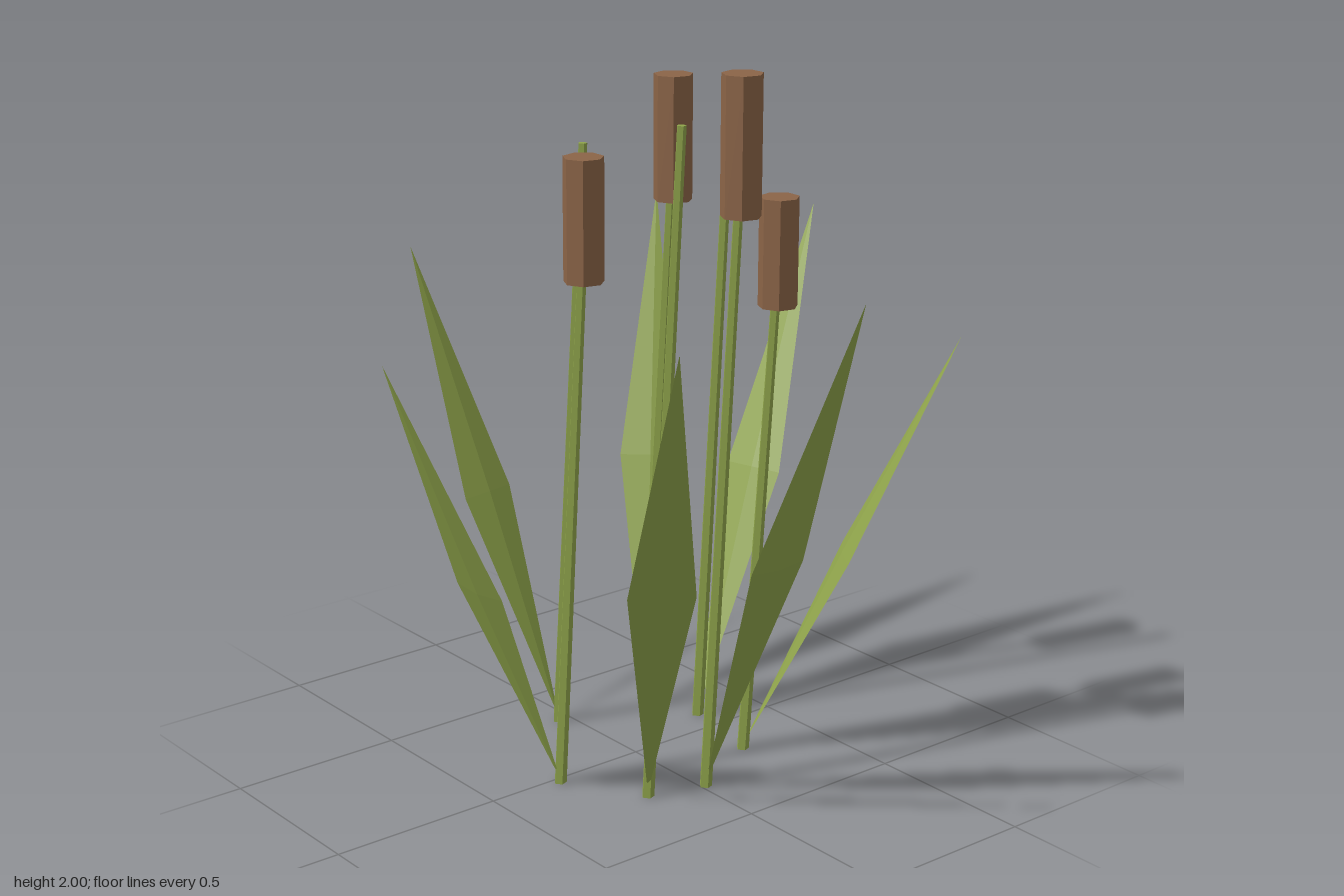
import * as THREE from 'three';

// base x/z, stem height, top x/z, optional seed head [bottom, top], leaf tip [x, y, z]
const PLANTS = [
  { base: [-0.31, 0.04], h: 1.73, top: [-0.215, 0.012], tip: [-0.88, 1.33, 0.135] },
  { base: [-0.23, -0.22], h: 1.72, top: [-0.14, -0.244], head: [1.55, 1.9], tip: [-0.66, 1.43, -0.61] },
  { base: [-0.09, -0.305], h: 1.87, top: [0.0, -0.33], tip: [-0.24, 1.43, -0.865] },
  { base: [0.17, -0.255], h: 1.47, top: [0.26, -0.28], head: [1.325, 1.625], tip: [0.527, 1.225, -0.715] },
  { base: [0.29, -0.015], h: 1.82, top: [0.38, -0.04], head: [1.63, 2.0], tip: [0.875, 1.51, -0.015] },
  { base: [0.24, 0.15], h: 1.88, top: [0.335, 0.122], tip: [0.735, 1.435, 0.457] },
  { base: [0.02, 0.285], h: 1.61, top: [0.107, 0.258], head: [1.45, 1.78], tip: [0.07, 1.33, 0.863] },
];

// Tapered stem, sheared so its foot stays flat on the ground
function stemGeometry({ base, h, top }) {
  const g = new THREE.CylinderGeometry(0.013, 0.018, h, 5).translate(0, h / 2, 0);
  const shear = new THREE.Matrix4().set(
    1, (top[0] - base[0]) / h, 0, base[0],
    0, 1, 0, 0,
    0, (top[1] - base[1]) / h, 1, base[1],
    0, 0, 0, 1);
  return g.applyMatrix4(shear);
}

// Flattened four-sided blade: pointed at both ends, widest just below the middle
function leafGeometry({ base, tip }) {
  const a = new THREE.Vector3(base[0], 0.01, base[1]);
  const b = new THREE.Vector3(...tip);
  const dir = b.clone().sub(a).normalize();
  const side = new THREE.Vector3().crossVectors(dir, new THREE.Vector3(0, 1, 0)).normalize();
  const up = new THREE.Vector3().crossVectors(dir, side);
  const mid = a.clone().lerp(b, 0.48);
  const ring = [[side, 0.09], [up, 0.01], [side, -0.09], [up, -0.01]]
    .map(([v, s]) => mid.clone().addScaledVector(v, s));
  const points = [];
  for (let i = 0; i < 4; i++) {
    const p = ring[i], q = ring[(i + 1) % 4];
    points.push(p, q, b, q, p, a);
  }
  const g = new THREE.BufferGeometry().setFromPoints(points);
  g.computeVertexNormals();
  return g;
}

export function createModel() {
  const green = new THREE.MeshStandardMaterial({ color: 0x8fa44b, flatShading: true });
  green.name = 'reedGreen';
  const brown = new THREE.MeshStandardMaterial({ color: 0x8b6447, flatShading: true });
  brown.name = 'seedHeadBrown';

  const model = new THREE.Group();
  model.name = 'reeds';
  for (const p of PLANTS) {
    const plant = new THREE.Group();
    plant.name = 'reed';
    const add = (name, geometry, material) => {
      const mesh = new THREE.Mesh(geometry, material);
      mesh.name = name;
      plant.add(mesh);
    };
    add('stem', stemGeometry(p), green);
    add('leaf', leafGeometry(p), green);
    if (p.head) {
      const [y0, y1] = p.head;
      const g = new THREE.CylinderGeometry(0.055, 0.055, y1 - y0, 7);
      add('seedHead', g.translate(p.top[0], (y0 + y1) / 2, p.top[1]), brown);
    }
    model.add(plant);
  }
  return model;
}
